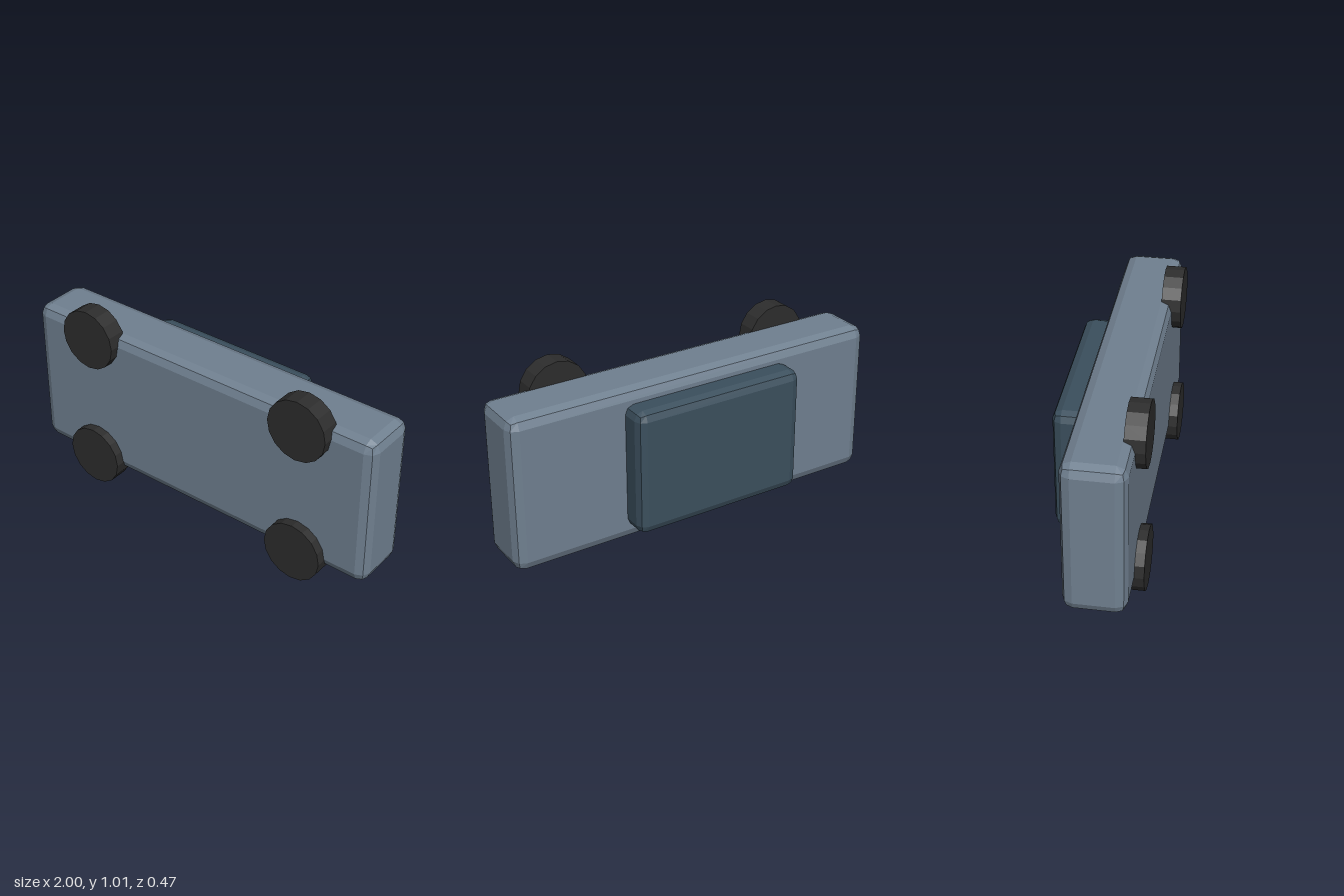
import * as THREE from 'three';
import { RoundedBoxGeometry } from 'three/addons/geometries/RoundedBoxGeometry.js';

const paint = (name, color) => {
  const m = new THREE.MeshStandardMaterial({ color, flatShading: true });
  m.name = name;
  return m;
};

// Bevelled block given by its min and max corners; two facets per edge
function block(name, min, max, bevel, material) {
  const size = max.map((v, i) => v - min[i]);
  const geometry = new RoundedBoxGeometry(...size, 1, bevel);
  geometry.translate(...max.map((v, i) => (v + min[i]) / 2));
  const mesh = new THREE.Mesh(geometry, material);
  mesh.name = name;
  return mesh;
}

export function createModel() {
  const model = new THREE.Group();
  model.name = 'car';
  const bodyPaint = paint('slate grey', 0x708090);
  const cabinPaint = paint('dark blue grey', 0x3b4f5d);
  const rubber = paint('black rubber', 0x2d2d2d);

  // Body slab, with the car's underside facing +z
  model.add(block('body', [-1, 0.11, -0.11], [1, 0.902, 0.19], 0.053, bodyPaint));

  // Cabin on the roof side, sunk into the body
  model.add(block('cabin', [-0.505, 0.185, -0.235], [0.41, 0.828, 0], 0.045, cabinPaint));

  // Four wheels standing out of the underside
  const wheelGeometry = new THREE.CylinderGeometry(0.157, 0.157, 0.097, 16);
  wheelGeometry.rotateX(Math.PI / 2);
  for (const x of [-0.622, 0.622]) {
    for (const y of [0.157, 0.853]) {
      const wheel = new THREE.Mesh(wheelGeometry, rubber);
      wheel.name = 'wheel';
      wheel.position.set(x, y, 0.1875);
      model.add(wheel);
    }
  }
  return model;
}
